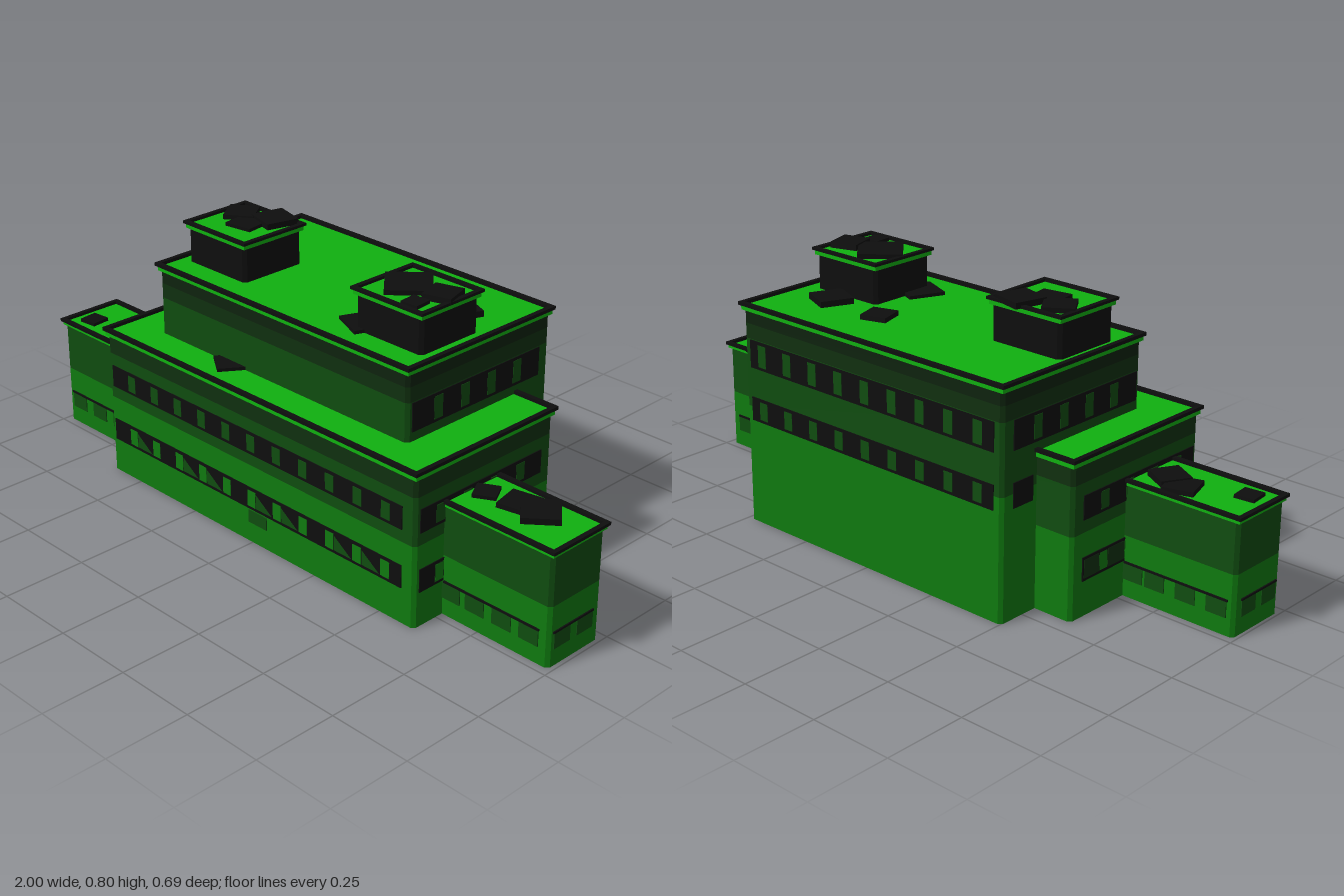
import * as THREE from 'three';

const mat = (name, color, side = THREE.FrontSide) => {
  const m = new THREE.MeshStandardMaterial({ color, side });
  m.name = name;
  return m;
};

export function createModel() {
  const root = new THREE.Group();
  root.name = 'building';
  const D = THREE.DoubleSide;
  const bright = mat('brightGreen', 0x10b010);
  const mid = mat('midGreen', 0x0f7a0f, D);
  const dark = mat('darkGreen', 0x104c10, D);
  const deep = mat('deepGreen', 0x10300f, D);
  const deepest = mat('deepestGreen', 0x0e220e, D);
  const black = mat('black', 0x0e0e0e, D);

  const add = (parent, name, geo, m, x = 0, y = 0, z = 0) => {
    const mesh = new THREE.Mesh(geo, m);
    mesh.name = name;
    mesh.position.set(x, y, z);
    parent.add(mesh);
    return mesh;
  };
  const box = (parent, name, m, x0, x1, y0, y1, z0, z1) =>
    add(parent, name, new THREE.BoxGeometry(x1 - x0, y1 - y0, z1 - z0), m,
      (x0 + x1) / 2, (y0 + y1) / 2, (z0 + z1) / 2);

  // Open ring of walls with small chamfered corners
  function wallRing([x0, x1, z0, z1], y0, y1) {
    const c = 0.01;
    const p = [[x0 + c, z1], [x1 - c, z1], [x1, z1 - c], [x1, z0 + c],
      [x1 - c, z0], [x0 + c, z0], [x0, z0 + c], [x0, z1 - c]];
    const v = [];
    p.forEach(([ax, az], i) => {
      const [bx, bz] = p[(i + 1) % p.length];
      v.push(ax, y0, az, bx, y0, bz, bx, y1, bz, ax, y0, az, bx, y1, bz, ax, y1, az);
    });
    const g = new THREE.BufferGeometry();
    g.setAttribute('position', new THREE.Float32BufferAttribute(v, 3));
    g.computeVertexNormals();
    return g;
  }

  // Block: coloured wall bands, bright cornice, black rim around a green roof
  function block(name, r, base, bands, top, cap) {
    const g = new THREE.Group();
    g.name = name;
    root.add(g);
    let y = base;
    for (const [y1, m] of bands) {
      add(g, name + 'Wall', wallRing(r, y, y1), m);
      y = y1;
    }
    const [x0, x1, z0, z1] = r;
    const a = 0.004, b = 0.01, w = 0.014;
    box(g, name + 'Roof', bright, x0 - a, x1 + a, y, top, z0 - a, z1 + a);
    for (const [p0, p1] of [[z0 - b, z0 - b + w], [z1 + b - w, z1 + b]])
      box(g, name + 'Rim', black, x0 - b, x1 + b, top, cap, p0, p1);
    for (const [p0, p1] of [[x0 - b, x0 - b + w], [x1 + b - w, x1 + b]])
      box(g, name + 'Rim', black, p0, p1, top, cap, z0 - b + w, z1 + b - w);
    return g;
  }

  const wing = [-0.99, 0.987, 0.023, 0.225];
  const main = [-0.627, 0.625, -0.199, 0.335];
  const tall = [-0.503, 0.489, -0.335, 0.227];
  const wingG = block('wing', wing, 0, [[0.18, mid], [0.327, dark]], 0.338, 0.347);
  const mainG = block('mainBlock', main, 0,
    [[0.245, mid], [0.388, dark], [0.441, deep]], 0.456, 0.466);
  const tallG = block('tallBlock', tall, 0,
    [[0.363, mid], [0.57, dark], [0.615, deep], [0.652, deepest]], 0.666, 0.676);
  block('leftPenthouse', [0.21, 0.452, -0.08, 0.14], 0.666, [[0.768, black]], 0.782, 0.79);
  block('rightPenthouse', [-0.473, -0.231, -0.08, 0.14], 0.666, [[0.768, black]], 0.782, 0.79);

  // Thin plate on a wall: axis is the wall normal, at is the wall position
  function plate(g, name, m, axis, at, u0, u1, y0, y1, t = 0.003) {
    if (axis === 'x') box(g, name, m, at - t, at + t, y0, y1, u0, u1);
    else box(g, name, m, u0, u1, y0, y1, at - t, at + t);
  }

  // Black window band broken up by wall-coloured piers every 0.104
  function windowBand(g, axis, at, u0, u1, y0, y1, first, pier) {
    plate(g, 'windowBand', black, axis, at, u0, u1, y0, y1);
    for (let u = first; u < u1 - 0.02; u += 0.104)
      if (u > u0 + 0.01)
        plate(g, 'windowPier', pier, axis, at, u - 0.016, u + 0.016,
          y0 + 0.009, y1 - 0.009, 0.0042);
  }

  // Main block windows
  windowBand(mainG, 'z', main[3], -0.607, 0.58, 0.282, 0.35, -0.518, dark);
  windowBand(mainG, 'z', main[3], -0.607, 0.58, 0.107, 0.175, -0.518, mid);
  for (const x of [main[0], main[1]]) {
    windowBand(mainG, 'x', x, -0.155, 0.317, 0.282, 0.352, -0.069, dark);
    windowBand(mainG, 'x', x, -0.155, 0.317, 0.105, 0.174, -0.069, mid);
    for (const [a, b] of [[-0.15, -0.088], [-0.05, 0.02], [0.23, 0.26]])
      plate(mainG, 'windowPane', deep, 'x', x, a, b, 0.113, 0.166, 0.004);
  }
  // Half-lit triangular panes in the lower front windows
  const tri = new THREE.Shape([[0, 0], [0.066, 0], [0, 0.045]].map(p => new THREE.Vector2(...p)));
  for (let i = 0; i < 10; i++)
    if (i % 3 !== 1)
      add(mainG, 'windowPane', new THREE.ShapeGeometry(tri), dark,
        -0.499 + i * 0.104, 0.117, main[3] + 0.0045);
  plate(mainG, 'frontVent', dark, 'z', main[3], -0.013, 0.06, 0.063, 0.102);

  // Tall block windows
  for (const x of [tall[0], tall[1]]) {
    windowBand(tallG, 'x', x, -0.292, 0.21, 0.484, 0.568, -0.2, dark);
    plate(tallG, 'windowBand', black, 'x', x, -0.292, -0.215, 0.322, 0.394);
  }
  windowBand(tallG, 'z', tall[2], -0.475, 0.462, 0.484, 0.568, -0.42, dark);
  windowBand(tallG, 'z', tall[2], -0.475, 0.462, 0.322, 0.394, -0.42, dark);

  // Wing windows with a thin black lintel
  function wingWindows(axis, at, u0, u1, list, w) {
    plate(wingG, 'wingLintel', black, axis, at, u0, u1, 0.099, 0.105, 0.004);
    for (const u of list)
      plate(wingG, 'wingWindow', dark, axis, at, u - w / 2, u + w / 2, 0.052, 0.1);
  }
  for (const z of [wing[2], wing[3]]) {
    wingWindows('z', z, -0.97, -0.63, [-0.934, -0.834, -0.733, -0.66], 0.064);
    wingWindows('z', z, 0.63, 0.955, [0.655, 0.738, 0.83, 0.921], 0.064);
  }
  for (const x of [wing[0], wing[1]])
    wingWindows('x', x, 0.052, 0.21, [0.175, 0.085], 0.063);

  // Flat black panels scattered on the roofs: x, z, size, angle, roof height
  const panels = [
    [-0.925, 0.16, 0.06, 0.1, 0.338], [-0.765, 0.085, 0.09, 0.3, 0.338],
    [-0.705, 0.11, 0.09, -0.5, 0.338], [0.67, 0.115, 0.065, 0.5, 0.338],
    [0.77, 0.1, 0.09, 0.2, 0.338], [0.84, 0.1, 0.105, 0.7, 0.338],
    [-0.195, 0.23, 0.09, -0.6, 0.456],
    [0.125, -0.15, 0.08, 0.3, 0.666], [0.33, -0.14, 0.1, -0.4, 0.666],
    [0.205, 0.095, 0.11, -0.4, 0.666],
    [-0.415, -0.015, 0.09, 0.6, 0.782], [-0.305, -0.045, 0.1, -0.25, 0.782],
    [-0.345, 0.025, 0.09, 0.15, 0.782], [0.295, 0.025, 0.13, 0.75, 0.782],
    [0.41, 0.015, 0.085, 0.3, 0.782], [0.39, 0.1, 0.055, 0.1, 0.782],
  ];
  panels.forEach(([x, z, s, a, y], i) => {
    const t = 0.01 + (i % 3) * 0.004;
    add(root, 'roofPanel', new THREE.BoxGeometry(s, t, s), black, x, y + t / 2, z).rotation.y = a;
  });
  return root;
}
